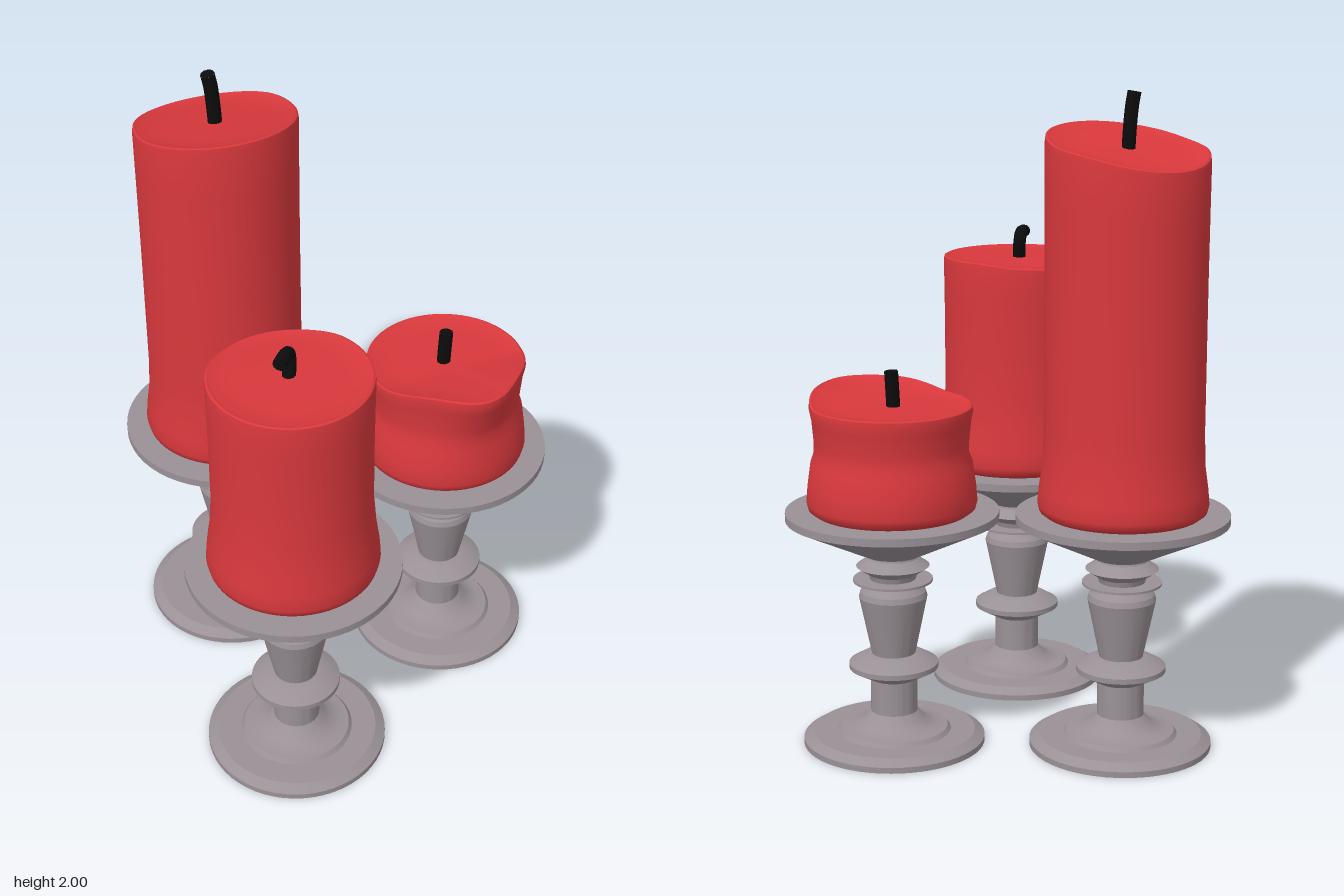
import * as THREE from 'three';
import { toCreasedNormals } from 'three/addons/utils/BufferGeometryUtils.js';

const metal = new THREE.MeshStandardMaterial({ color: 0x9a9196 });
const wax = new THREE.MeshStandardMaterial({ color: 0xd8383c });
const char = new THREE.MeshStandardMaterial({ color: 0x0c0c0c });

const smooth = THREE.MathUtils.smoothstep;
const PLATE_TOP = 0.74;

function lathe(points, segments = 56) {
  return new THREE.LatheGeometry(points.map(([r, y]) => new THREE.Vector2(r, y)), segments);
}

function addMesh(parent, name, geometry, material) {
  const mesh = new THREE.Mesh(geometry, material);
  mesh.name = name;
  parent.add(mesh);
  return mesh;
}

// Turned holder: foot, stem and drip plate
function makeHolder() {
  const group = new THREE.Group();
  group.name = 'holder';
  const turned = (name, points) =>
    addMesh(group, name, toCreasedNormals(lathe(points), 0.45), metal);

  turned('foot', [[0, 0], [0.28, 0], [0.28, 0.018], [0.25, 0.037], [0.175, 0.037],
    [0.165, 0.05], [0.14, 0.052], [0.11, 0.062], [0.09, 0.08], [0.072, 0.1], [0, 0.1]]);
  turned('lowerStem', [[0, 0.09], [0.072, 0.09], [0.072, 0.205], [0.09, 0.215], [0.137, 0.24],
    [0.137, 0.256], [0.09, 0.283], [0.066, 0.287], [0, 0.287]]);
  turned('upperStem', [[0, 0.28], [0.066, 0.28], [0.105, 0.468], [0.1, 0.485], [0.068, 0.52], [0, 0.52]]);
  turned('collarRing', [[0, 0.517], [0.122, 0.517], [0.122, 0.524], [0, 0.524]]);
  turned('bead', [[0, 0.522], [0.07, 0.522], [0.075, 0.54], [0.112, 0.565], [0.075, 0.59], [0.07, 0.605], [0, 0.605]]);
  turned('dripPlate', [[0, 0.6], [0.085, 0.6], [0.325, 0.716], [0.325, PLATE_TOP], [0, PLATE_TOP]]);
  return group;
}

// Wax body: a flared lathe whose upper end is reshaped by height and lip rules
function makeCandle({ top, neck, rim, heightAt, lip = 0 }) {
  const span = top - PLATE_TOP;
  const points = [[0, PLATE_TOP], [0.238, PLATE_TOP], [0.254, 0.752], [0.259, 0.772], [0.255, 0.82],
    [0.245, 0.89], [neck, PLATE_TOP + Math.min(0.55 * span, 0.25)], [neck, top - 0.35 * span],
    [(neck + rim) / 2, top - 0.15 * span], [rim, top - 0.02], [rim - 0.002, top - 0.003], [rim - 0.008, top],
    [rim - 0.02, top - 0.005], [0.16, top - 0.006], [0.08, top - 0.006], [0, top - 0.006]];
  const geometry = lathe(points, 64);
  const p = geometry.attributes.position;
  for (let i = 0; i < p.count; i++) {
    const x = p.getX(i), y = p.getY(i), z = p.getZ(i);
    const t = smooth(y, PLATE_TOP + 0.35 * span, top - 0.006);
    const angle = Math.atan2(x, z);
    const pull = 1 + lip * t * Math.exp(-((angle / 0.42) ** 2));
    p.setXYZ(i, x * pull, y + t * heightAt(x, z), z * pull);
  }
  return toCreasedNormals(geometry, 0.7);
}

function makeWick(points, radius) {
  const group = new THREE.Group();
  group.name = 'wick';
  const curve = new THREE.CatmullRomCurve3(points.map((q) => new THREE.Vector3(...q)));
  addMesh(group, 'wickStrand', new THREE.TubeGeometry(curve, 14, radius, 10), char);
  // Flat cap on the burnt end
  const cap = addMesh(group, 'wickEnd', new THREE.CircleGeometry(radius, 10), char);
  cap.position.copy(curve.getPoint(1));
  cap.quaternion.setFromUnitVectors(new THREE.Vector3(0, 0, 1), curve.getTangent(1));
  return group;
}

const candles = [
  { // Tall candle, top slanting down to the back
    name: 'tallCandle', x: -0.245, z: -0.36,
    body: { top: 1.845, neck: 0.241, rim: 0.243,
      heightAt: (x, z) => 0.055 * (z / 0.243) + 0.25 * x * x * smooth(-z, -0.05, 0.15) },
    wick: [[0.0, 1.82, 0.0], [-0.005, 1.9, 0.0], [-0.01, 1.96, -0.002], [-0.018, 2.0, -0.002]], radius: 0.021,
  },
  { // Medium candle, nearly level, with a curled wick
    name: 'mediumCandle', x: -0.33, z: 0.35,
    body: { top: 1.43, neck: 0.237, rim: 0.24,
      heightAt: (x, z) => -0.015 * smooth(-z, 0.1, 0.24) },
    wick: [[-0.005, 1.4, -0.005], [0.008, 1.45, -0.02], [0.008, 1.485, -0.025], [-0.012, 1.502, -0.002], [-0.045, 1.5, 0.03]],
    radius: 0.02,
  },
  { // Short candle with a pouring lip at the front
    name: 'shortCandle', x: 0.325, z: 0.045,
    body: { top: 1.068, neck: 0.234, rim: 0.247, lip: 0.17,
      heightAt: (x, z) => 0.037 * smooth(z, 0.03, 0.22) },
    wick: [[-0.005, 1.04, -0.006], [-0.003, 1.1, -0.004], [0, 1.17, -0.002]], radius: 0.021,
  },
];

export function createModel() {
  const model = new THREE.Group();
  model.name = 'candleTrio';
  for (const { name, x, z, body, wick, radius } of candles) {
    const set = new THREE.Group();
    set.name = name;
    set.position.set(x, 0, z);
    set.add(makeHolder());
    addMesh(set, 'waxBody', makeCandle(body), wax);
    set.add(makeWick(wick, radius));
    model.add(set);
  }
  return model;
}
